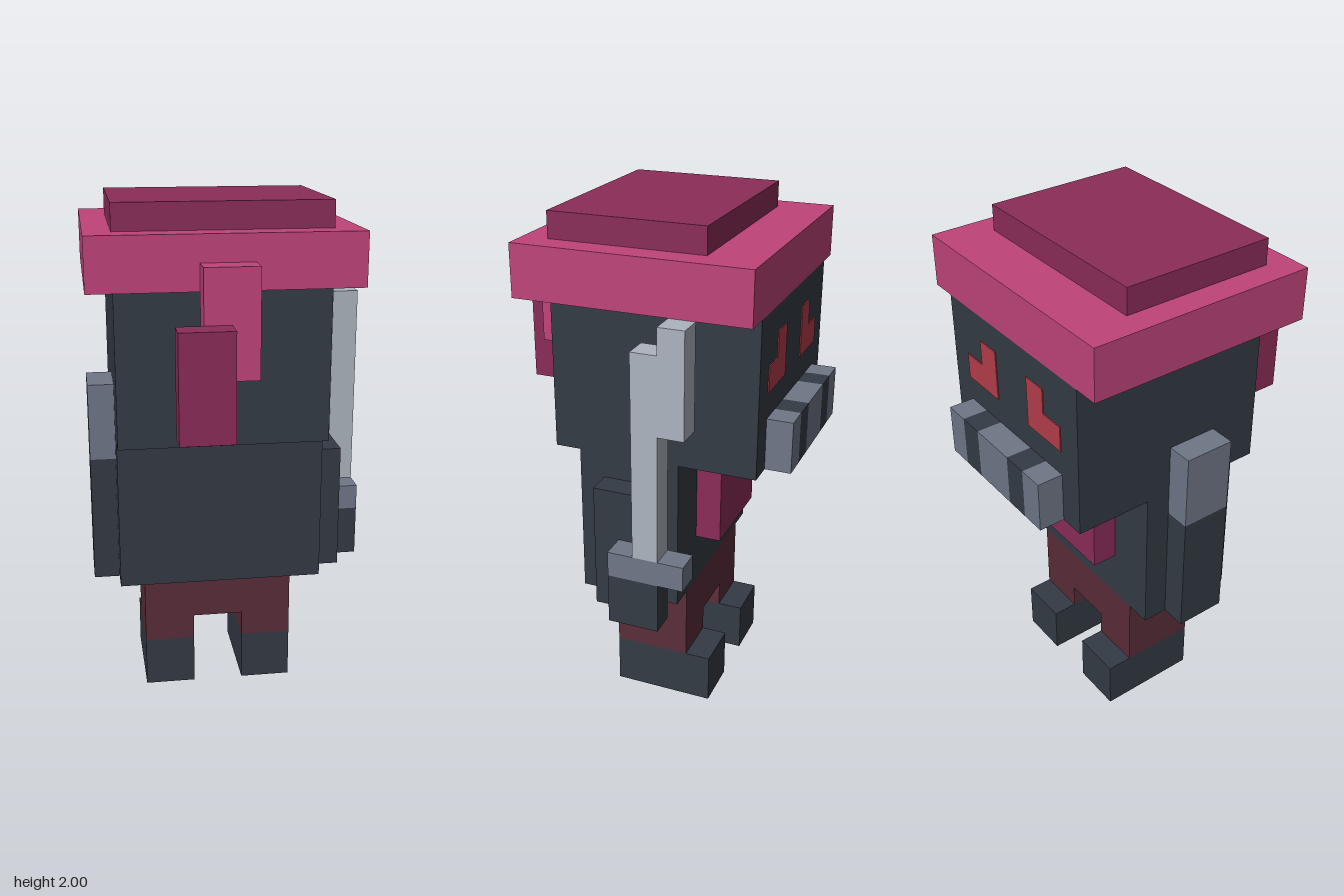
import * as THREE from 'three';

function paint(name, color) {
  const m = new THREE.MeshStandardMaterial({ color });
  m.name = name;
  return m;
}

export function createModel() {
  const pink = paint('pink', 0xbf447a);
  const plum = paint('plum', 0x8b2c58);
  const slate = paint('slate', 0x343b45);
  const steel = paint('steel', 0x6f7787);
  const silver = paint('silver', 0xadb4bf);
  const maroon = paint('maroon', 0x5a2d3a);
  const red = paint('red', 0xb43d4a);

  const root = new THREE.Group();
  root.name = 'swordsman';

  function group(name) {
    const g = new THREE.Group();
    g.name = name;
    root.add(g);
    return g;
  }

  // Box given by its [min, max] range on each axis
  function block(parent, name, material, x, y, z) {
    const mesh = new THREE.Mesh(
      new THREE.BoxGeometry(x[1] - x[0], y[1] - y[0], z[1] - z[0]), material);
    mesh.position.set((x[0] + x[1]) / 2, (y[0] + y[1]) / 2, (z[0] + z[1]) / 2);
    mesh.name = name;
    parent.add(mesh);
  }

  // Legs: trousers joined at the hips, boots with toes towards the face side
  const legs = group('legs');
  block(legs, 'hips', maroon, [-0.35, 0.25], [0.3, 0.5], [-0.2, 0.1]);
  for (const [side, x] of [['right', -0.35], ['left', 0.05]]) {
    block(legs, side + 'Trouser', maroon, [x, x + 0.2], [0.2, 0.3], [-0.2, 0.1]);
    block(legs, side + 'Boot', slate, [x, x + 0.2], [0, 0.2], [-0.3, 0.1]);
  }

  // Torso with chest plate
  const torso = group('torso');
  block(torso, 'body', slate, [-0.45, 0.35], [0.5, 1.1], [-0.2, 0.2]);
  block(torso, 'chestPlate', plum, [-0.25, 0.15], [0.7, 1.0], [-0.3, -0.2]);

  // Arms
  const arms = group('arms');
  block(arms, 'rightArm', slate, [-0.55, -0.45], [0.5, 1.0], [-0.1, 0.1]);
  block(arms, 'shoulderPad', steel, [-0.55, -0.45], [1.0, 1.3], [-0.1, 0.1]);
  block(arms, 'leftArm', slate, [0.35, 0.45], [0.5, 1.0], [-0.1, 0.1]);
  block(arms, 'leftHand', slate, [0.45, 0.55], [0.5, 0.7], [-0.2, 0]);

  // Stepped sword held upright
  const sword = group('sword');
  block(sword, 'guard', steel, [0.45, 0.55], [0.7, 0.8], [-0.3, 0]);
  block(sword, 'blade', silver, [0.45, 0.55], [0.8, 1.6], [-0.2, -0.1]);
  block(sword, 'bladeTip', silver, [0.45, 0.55], [1.3, 1.7], [-0.3, -0.2]);

  // Head
  const head = group('head');
  block(head, 'skull', slate, [-0.45, 0.35], [1.1, 1.7], [-0.5, 0.3]);

  // Barred mouth guard
  const bars = [
    [-0.35, -0.25, steel], [-0.25, -0.15, slate], [-0.15, 0.05, steel],
    [0.05, 0.15, slate], [0.15, 0.25, steel],
  ];
  for (const [a, b, material] of bars) {
    block(head, 'mouthGuardBar', material, [a, b], [1.1, 1.3], [-0.6, -0.5]);
  }

  // L-shaped eyes mirrored about the face centre
  for (const s of [-1, 1]) {
    const span = (a, b) => [-0.05 + s * a, -0.05 + s * b].sort((p, q) => p - q);
    block(head, 'eyeLower', red, span(0.1, 0.3), [1.4, 1.5], [-0.504, -0.5]);
    block(head, 'eyeUpper', red, span(0.1, 0.2), [1.5, 1.6], [-0.504, -0.5]);
  }

  // Headwear with a hanging tail
  const hat = group('hat');
  block(hat, 'hatBand', pink, [-0.55, 0.45], [1.7, 1.9], [-0.5, 0.4]);
  block(hat, 'hatCrown', plum, [-0.45, 0.35], [1.9, 2.0], [-0.3, 0.3]);
  block(hat, 'upperTail', pink, [-0.15, 0.05], [1.4, 1.8], [0.4, 0.5]);
  block(hat, 'lowerTail', plum, [-0.25, -0.05], [1.2, 1.6], [0.5, 0.6]);

  return root;
}
